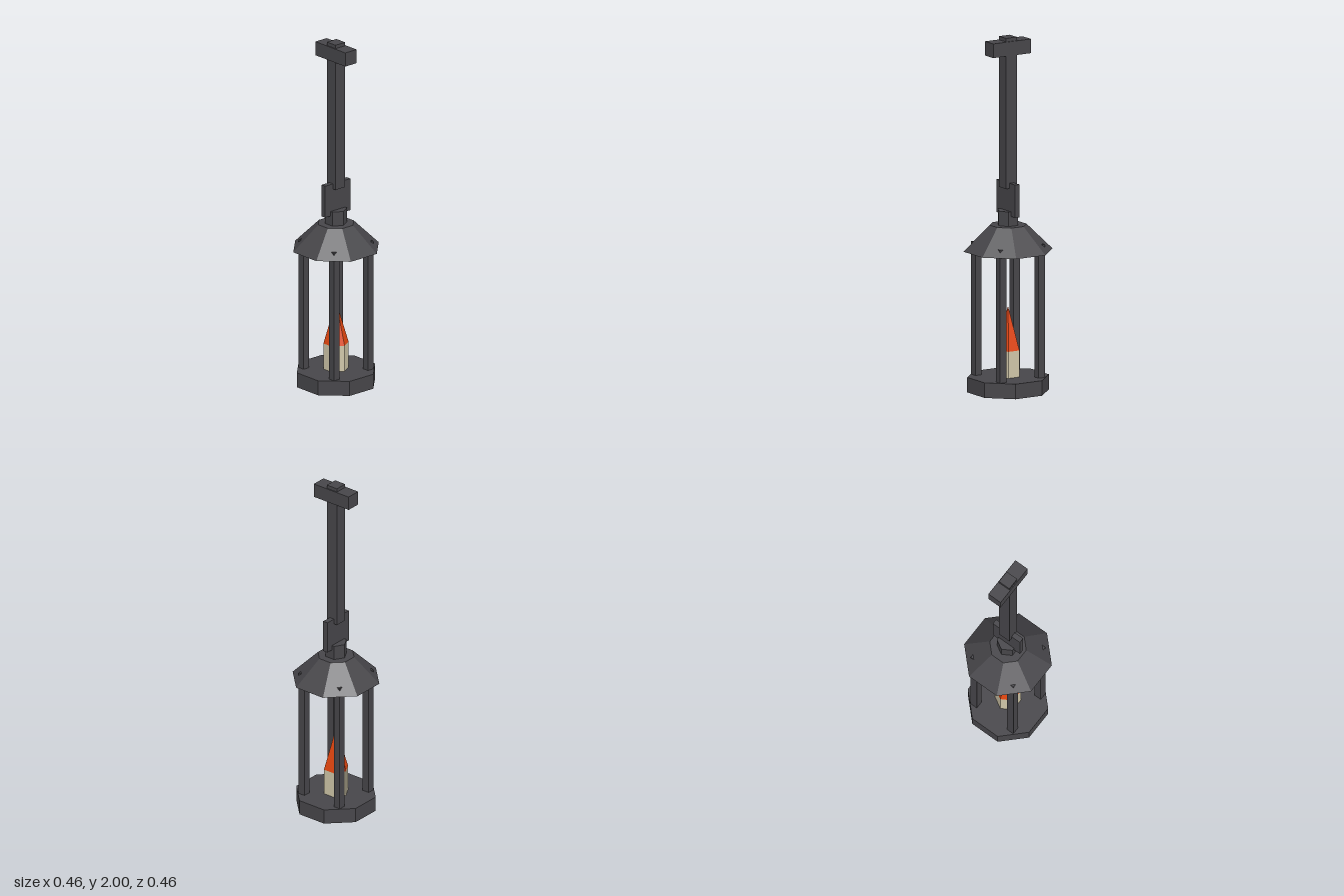
import * as THREE from 'three';

export function createModel() {
  const model = new THREE.Group();
  model.name = 'hangingCandleLantern';

  const flat = (name, color) => {
    const m = new THREE.MeshStandardMaterial({ color });
    m.name = name;
    m.flatShading = true;
    return m;
  };
  const iron = flat('dark iron', 0x47464a);
  const wax = flat('candle wax', 0xd0c7a9);
  const fire = flat('flame orange', 0xe0450f);

  const add = (name, geometry, material, x, y, z) => {
    const mesh = new THREE.Mesh(geometry, material);
    mesh.name = name;
    mesh.position.set(x, y, z);
    model.add(mesh);
  };
  // Upright prism between two heights, with flat sides facing front and back
  const prism = (name, sides, rTop, rBottom, y0, y1, material) => {
    const g = new THREE.CylinderGeometry(rTop, rBottom, y1 - y0, sides);
    g.rotateY(Math.PI / sides);
    add(name, g, material, 0, (y0 + y1) / 2, 0);
  };
  // Box between two heights
  const block = (name, w, d, y0, y1, x = 0, z = 0) =>
    add(name, new THREE.BoxGeometry(w, y1 - y0, d), iron, x, (y0 + y1) / 2, z);

  // Octagonal base and roof
  prism('base', 8, 0.229, 0.229, 0, 0.085, iron);
  prism('roof', 8, 0.104, 0.25, 0.795, 0.94, iron);

  // Four corner posts, whose outer corners pierce the roof
  for (const [sx, side] of [[1, 'Left'], [-1, 'Right']])
    for (const [sz, end] of [[1, 'front'], [-1, 'back']])
      block(`${end}${side}Post`, 0.042, 0.042, 0.06, 0.836, sx * 0.126, sz * 0.126);

  // Hexagonal candle and its flame
  prism('candle', 6, 0.071, 0.071, 0.08, 0.235, wax);
  prism('flame', 6, 0, 0.071, 0.235, 0.48, fire);

  // Hanger: collar, link plate, rod and top crossbar
  prism('collar', 6, 0.062, 0.062, 0.93, 1.022, iron);
  block('linkPlate', 0.03, 0.187, 0.995, 1.18);
  block('rod', 0.072, 0.072, 1.15, 2);
  block('crossbar', 0.248, 0.084, 1.9, 1.98);

  return model;
}
